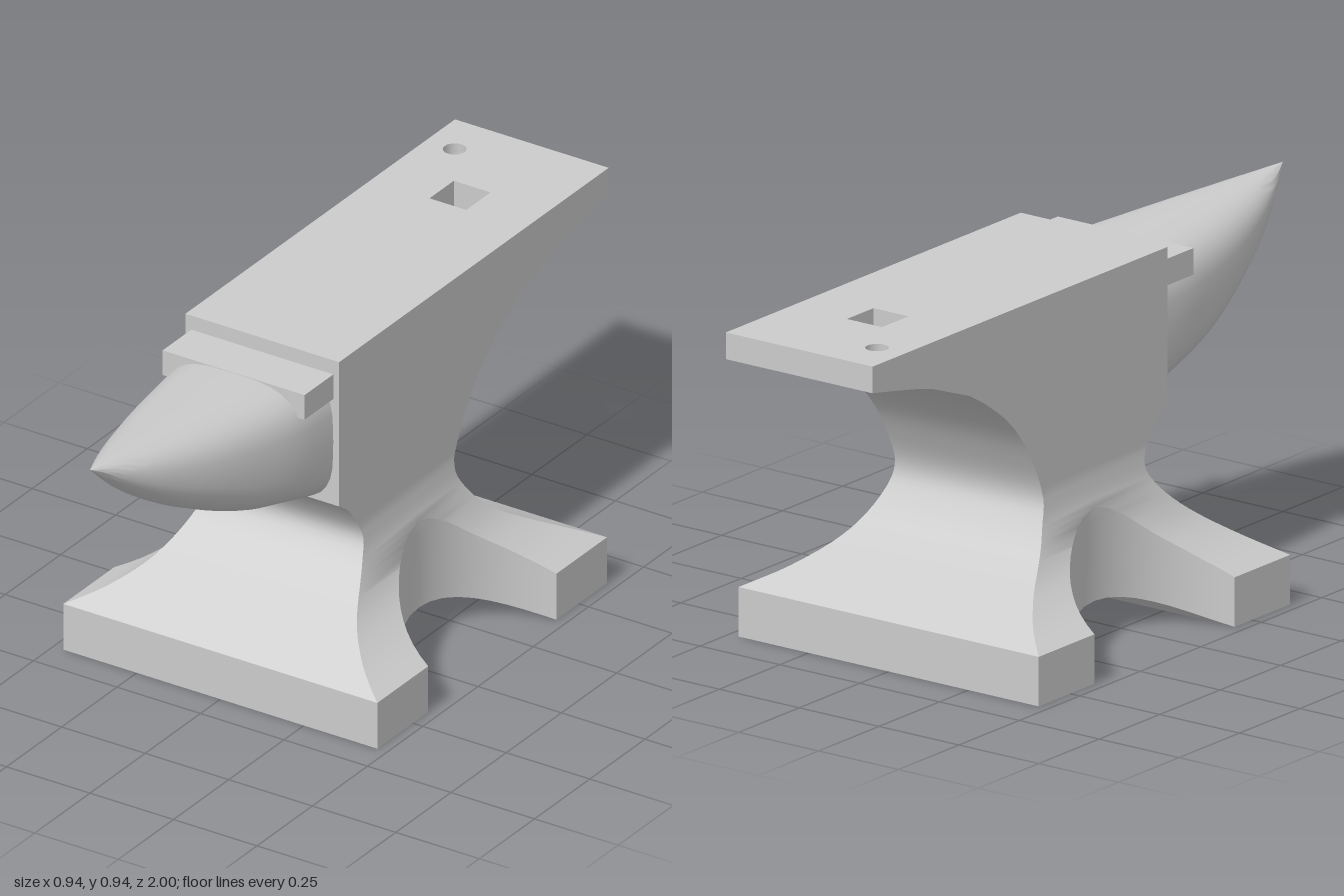
import * as THREE from 'three';
import { mergeGeometries, toCreasedNormals } from 'three/addons/utils/BufferGeometryUtils.js';

const V = (x, y, z) => new THREE.Vector3(x, y, z);
const TOP = 0.94, SEAM = 0.53, HALF = 0.23, FRONT = 0.22, BACK = -1, MID = -0.11;

// Smooth curve through [a, b] knots, sampled so that every knot is hit
const sample = (pts) =>
  new THREE.SplineCurve(pts.map((p) => new THREE.Vector2(...p))).getPoints((pts.length - 1) * 8);

// Read one coordinate of a sampled curve at a value of the other
function lookup(pts, from, to, v) {
  for (let i = 0; i < pts.length - 1; i++) {
    const a = pts[i], b = pts[i + 1];
    if ((v - a[from]) * (v - b[from]) <= 0 && a[from] !== b[from]) {
      return a[to] + (b[to] - a[to]) * (v - a[from]) / (b[from] - a[from]);
    }
  }
  const first = pts[0], last = pts[pts.length - 1];
  return Math.abs(v - first[from]) < Math.abs(v - last[from]) ? first[to] : last[to];
}

// Skin between rows of points
function grid(rows, closed = false) {
  const pos = [];
  const put = (...ps) => {
    if (new THREE.Triangle(...ps).getArea() > 1e-9) ps.forEach((p) => pos.push(p.x, p.y, p.z));
  };
  for (let i = 0; i < rows.length - 1; i++) {
    const lo = rows[i], hi = rows[i + 1], n = lo.length;
    for (let j = 0; j < (closed ? n : n - 1); j++) {
      const k = (j + 1) % n;
      put(lo[j], lo[k], hi[k]);
      put(lo[j], hi[k], hi[j]);
    }
  }
  return new THREE.BufferGeometry().setAttribute('position', new THREE.Float32BufferAttribute(pos, 3));
}

const mirror = (side) => side.map((p) => V(-p.x, p.y, p.z));
const loop = (side) => [...side, ...mirror(side).reverse()];

// Side profiles as (z, y), and foot flare as (half width, y)
const backLine = sample([[-0.63, 0.13], [-0.405, 0.257], [-0.315, 0.36], [-0.30, 0.43], [-0.345, SEAM],
  [-0.40, 0.61], [-0.475, 0.68], [-0.61, 0.765], [-0.78, 0.825], [BACK, 0.87]]);
const frontLine = sample([[0.41, 0.13], [0.22, 0.27], [0.137, 0.354], [0.12, 0.41], [0.17, 0.49], [FRONT, SEAM]]);
const flareLine = sample([[0.47, 0.13], [0.38, 0.18], [0.30, 0.25], [0.247, 0.35], [HALF, 0.43]]);
const heelLine = backLine.filter((p) => p.y >= SEAM - 1e-6);
const under = (z) => lookup(heelLine, 'x', 'y', z);

// One side of the waist and foot at height y, with the round side cutout
const CUT_R = 0.301, CUT_X = 0.551, CUT_N = 20;
function waistSide(y, isBottom) {
  const h = Math.max(y, 0.13);
  const w = lookup(flareLine, 'y', 'x', h);
  const chord = Math.sqrt(Math.max(0, CUT_R ** 2 - (CUT_X - w) ** 2));
  const side = [V(w, y, lookup(frontLine, 'y', 'x', h))];
  for (let i = 0; i <= CUT_N; i++) {
    const t = Math.cos((Math.PI * i) / CUT_N), dz = chord * t;
    const x = chord > 0 ? CUT_X - Math.sqrt(CUT_R ** 2 - dz * dz) : w;
    side.push(V(x, isBottom ? 0.1 * (1 - t * t) : y, MID + dz));
  }
  side.push(V(w, y, lookup(backLine, 'y', 'x', h)));
  return side;
}

// Holes through the heel: a square one and a small round one
const ring = (cx, cz, r, n) => Array.from({ length: n }, (_, i) => {
  const a = Math.PI / 4 + (i / n) * Math.PI * 2;
  return [cx + r * Math.cos(a), cz + r * Math.sin(a)];
});
const squareHole = ring(0, -0.675, 0.055 * Math.SQRT2, 4);
const roundHole = ring(-0.145, -0.87, 0.03, 12);

// Horizontal sheet from z0 to z1 with holes, following height(z)
function sheet(z0, z1, holes, height, up) {
  const s = up ? -1 : 1;
  const flat = (list) => list.map(([x, z]) => new THREE.Vector2(x, s * z));
  const shape = new THREE.Shape(flat([[-HALF, z0], [HALF, z0], [HALF, z1], [-HALF, z1]]));
  shape.holes = holes.map((h) => new THREE.Path(flat(h)));
  const g = new THREE.ShapeGeometry(shape).toNonIndexed();
  g.deleteAttribute('normal');
  g.deleteAttribute('uv');
  const p = g.attributes.position;
  for (let i = 0; i < p.count; i++) {
    const z = s * p.getY(i);
    p.setXYZ(i, p.getX(i), height(z), z);
  }
  return g;
}

function bodyGeometry() {
  const parts = [];
  // Foot and waist
  const levels = [0, 0.13];
  for (let i = 1; i <= 24; i++) levels.push(0.13 + ((SEAM - 0.13) * i) / 24);
  const sides = levels.map((y, i) => waistSide(y, i === 0));
  parts.push(grid(sides.map(loop), true));
  // Arched underside of the foot
  parts.push(grid([mirror(sides[0]), sides[0]]));
  // Block and heel walls
  const stops = [-0.345, -0.36, -0.38, -0.41, -0.45, -0.49, -0.54, -0.6, -0.75, -0.82, -0.92, BACK];
  const low = [V(HALF, SEAM, FRONT), ...stops.map((z) => V(HALF, under(z), z))];
  const high = low.map((p) => V(p.x, TOP, p.z));
  parts.push(grid([loop(low), loop(high)], true));
  // Curved underside of the heel, in bands
  for (let i = 0; i < stops.length - 1; i++) {
    const holes = [squareHole, roundHole].filter((h) => h[0][1] < stops[i] && h[0][1] > stops[i + 1]);
    parts.push(sheet(stops[i], stops[i + 1], holes, under, false));
  }
  // Face and hole walls
  parts.push(sheet(FRONT, BACK, [squareHole, roundHole], () => TOP, true));
  for (const hole of [squareHole, roundHole]) {
    parts.push(grid([hole.map(([x, z]) => V(x, under(z), z)), hole.map(([x, z]) => V(x, TOP, z))], true));
  }
  return toCreasedNormals(mergeGeometries(parts), 0.6);
}

// Horn: squarish sections that round off towards the tip
function hornGeometry() {
  const width = sample([[0.2, 0.213], [0.35, 0.207], [0.5, 0.182], [0.65, 0.146], [0.8, 0.097], [0.9, 0.053], [1, 0]]);
  const bottom = sample([[0.2, 0.515], [0.35, 0.555], [0.5, 0.595], [0.7, 0.69], [0.85, 0.79], [1, 0.918]]);
  const rows = [];
  for (let i = 0; i <= 24; i++) {
    const t = i / 24, z = 0.2 + 0.8 * t;
    const w = lookup(width, 'x', 'y', z), b = lookup(bottom, 'x', 'y', z);
    const top = 0.895 + 0.023 * t, r = (top - b) / 2, e = 2 / (3.5 - 1.5 * t);
    rows.push(Array.from({ length: 32 }, (_, j) => {
      const a = (j / 32) * Math.PI * 2, c = Math.cos(a), s = Math.sin(a);
      return V(w * Math.sign(c) * Math.abs(c) ** e, b + r + r * Math.sign(s) * Math.abs(s) ** e, z);
    }));
  }
  return toCreasedNormals(grid(rows, true), 0.9);
}

export function createModel() {
  const group = new THREE.Group();
  group.name = 'anvil';
  const material = new THREE.MeshStandardMaterial({ color: 0xcccccc });
  const add = (name, geometry) => {
    const mesh = new THREE.Mesh(geometry, material);
    mesh.name = name;
    group.add(mesh);
    return mesh;
  };
  add('body', bodyGeometry());
  add('horn', hornGeometry());
  // Square step where the horn meets the block
  add('hornStep', new THREE.BoxGeometry(0.425, 0.07, 0.15)).position.set(0, 0.865, 0.275);
  return group;
}
